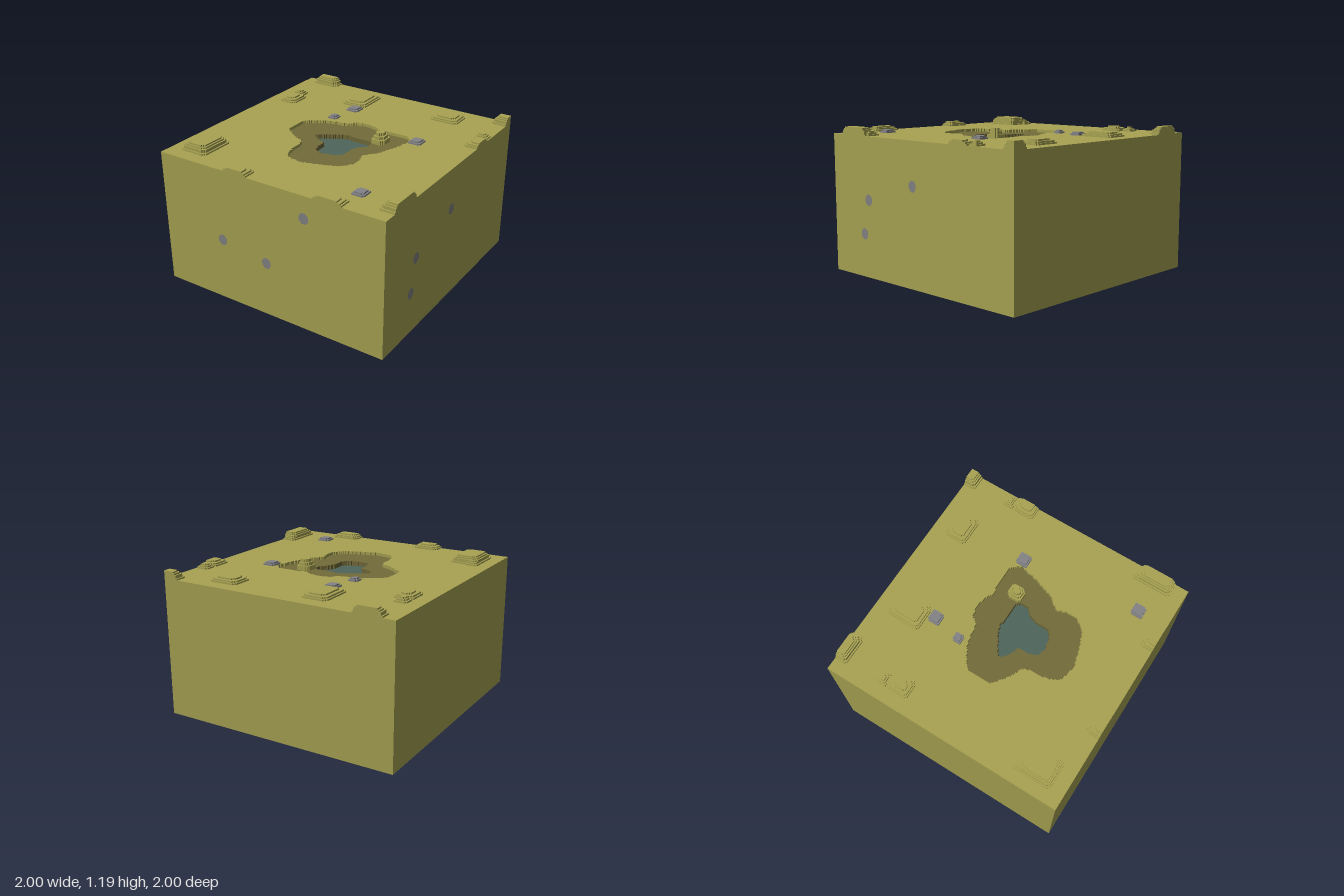
import * as THREE from 'three';

const V = 0.0125; // stepping grid size
const GROUND = 1.125, MUD = 1.1, WATER = 1.0625;

const mat = (name, color, double) => {
  const m = new THREE.MeshStandardMaterial({ color });
  m.name = name;
  if (double) m.side = THREE.DoubleSide;
  return m;
};

// Turns an outline of [x, z] points into axis-aligned stair steps on the grid
function stair(points) {
  const p = points.map(([x, z]) => [Math.round(x / V), Math.round(z / V)]);
  const out = [];
  const push = (x, z) => {
    const n = out.length;
    if (n > 1 && out[n - 2][0] === x && out[n - 2][1] === z) out.pop();
    else out.push([x, z]);
  };
  p.forEach(([x, z], i) => {
    const [tx, tz] = p[(i + 1) % p.length];
    const dx = Math.abs(tx - x), dz = Math.abs(tz - z);
    let a = 0, b = 0;
    while (a < dx || b < dz) {
      if (b >= dz || (a < dx && (a + 0.5) * dz <= (b + 0.5) * dx)) { x += Math.sign(tx - x); a++; }
      else { z += Math.sign(tz - z); b++; }
      push(x, z);
    }
  });
  // keep corners only
  return out.filter(([x, z], i) => {
    const q = out[(i + out.length - 1) % out.length], r = out[(i + 1) % out.length];
    return (x - q[0]) * (r[1] - z) !== (z - q[1]) * (r[0] - x);
  }).map(([x, z]) => [x * V, z * V]);
}

const toShape = (pts) => new THREE.Shape(pts.map(([x, z]) => new THREE.Vector2(x, -z)));

// Flat horizontal face, optionally with a hole
function cap(pts, y, hole) {
  const s = toShape(pts);
  if (hole) s.holes.push(toShape(hole));
  return new THREE.ShapeGeometry(s).rotateX(-Math.PI / 2).translate(0, y, 0);
}

// Vertical ribbon along an outline; clockwise outlines face inward
function wall(pts, y0, y1) {
  const pos = [];
  pts.forEach(([ax, az], i) => {
    const [bx, bz] = pts[(i + 1) % pts.length];
    pos.push(ax, y0, az, bx, y0, bz, bx, y1, bz, ax, y0, az, bx, y1, bz, ax, y1, az);
  });
  const g = new THREE.BufferGeometry();
  g.setAttribute('position', new THREE.Float32BufferAttribute(pos, 3));
  g.computeVertexNormals();
  return g;
}

// Chamfered rectangle, cut flush with the block's sides
function padOutline([x0, x1, z0, z1], inset, c) {
  x0 += inset; x1 -= inset; z0 += inset; z1 -= inset;
  const k = (v) => Math.max(-1, Math.min(1, v));
  return stair([
    [x0 + c, z0], [x1 - c, z0], [x1, z0 + c], [x1, z1 - c],
    [x1 - c, z1], [x0 + c, z1], [x0, z1 - c], [x0, z0 + c],
  ].map(([x, z]) => [k(x), k(z)]));
}

const POND = [
  [.03, -.33], [.11, -.31], [.18, -.27], [.26, -.285], [.42, -.285], [.47, -.25], [.5, -.2],
  [.48, -.13], [.46, -.05], [.42, .04], [.4, .125], [.35, .17], [.33, .215], [.35, .3],
  [.35, .38], [.315, .44], [.26, .48], [.17, .51], [.085, .54], [0, .56], [-.075, .55],
  [-.145, .52], [-.19, .445], [-.2, .36], [-.2, .3], [-.23, .24], [-.315, .2], [-.4, .14],
  [-.45, .1], [-.45, -.1], [-.385, -.15], [-.29, -.21], [-.19, -.235], [-.1, -.25], [-.06, -.31],
];
const POOL = [
  [0, -.1], [.04, -.085], [.2, -.09], [.235, -.05], [.235, 0], [.19, .065], [.165, .125],
  [.165, .235], [.13, .27], [.07, .285], [0, .3], [-.065, .275], [-.09, .215], [-.09, .125],
  [-.155, .1], [-.215, .06], [-.22, .02], [-.155, -.03], [-.065, -.07],
];

// Layer stacks as [inset, top height]
const TALL = [[0, 1.1375], [.0125, 1.1625], [.025, 1.175], [.0375, 1.1875]];
const LOW = [[0, 1.1375], [.0125, 1.15], [.0375, 1.1625]];
const SMALL = [[0, 1.1375], [.0125, 1.15], [.025, 1.1625]];
const STONE = [[0, 1.1375], [.0125, 1.15]];
const TUFT = [[0, 1.1375], [.0125, 1.1625], [.025, 1.1875]];

export function createModel() {
  const model = new THREE.Group();
  model.name = 'pondBlock';
  const grass = mat('grass', 0xa8a352);
  const mud = mat('mud', 0x736b3a);
  const water = mat('water', 0x4e665c);
  const stone = mat('stone', 0x838286);
  const stoneFace = mat('stoneSpot', 0x838283, true);

  const add = (name, geo, m, parent = model) => {
    const mesh = new THREE.Mesh(geo, m);
    mesh.name = name;
    parent.add(mesh);
    return mesh;
  };

  // Ground block with the pond cut out of its top
  const square = [[-1, -1], [-1, 1], [1, 1], [1, -1]];
  const pond = stair(POND), pool = stair(POOL);
  add('blockSides', wall(square, 0, GROUND), grass);
  add('blockTop', cap(square, GROUND, pond), grass);
  add('blockBottom', new THREE.PlaneGeometry(2, 2).rotateX(Math.PI / 2), grass);
  add('pondRim', wall(pond, MUD, GROUND), grass);
  add('mudBank', cap(pond, MUD, pool), mud);
  add('poolRim', wall(pool, WATER, MUD), mud);
  add('waterSurface', cap(pool, WATER), water);

  // Stepped pads: each layer is smaller than the one beneath
  const pad = (name, rect, layers, m, chamfer = .03, base = GROUND) => {
    const group = new THREE.Group();
    group.name = name;
    let y = base;
    for (const [inset, top] of layers) {
      const g = new THREE.ExtrudeGeometry(toShape(padOutline(rect, inset, chamfer)),
        { depth: top - y, bevelEnabled: false });
      add(name + 'Layer', g.rotateX(-Math.PI / 2).translate(0, y, 0), m, group);
      y = top;
    }
    model.add(group);
  };

  // Tall mounds
  [[-.9, -.6625, -1.2, -.9], [.875, 1.2, -1.2, -.9], [-.9, -.6625, .5875, .8875],
    [.875, 1.2, .5875, .8875]].forEach((r) => pad('tallMound', r, TALL, grass));

  // Low mounds
  [[-.3875, -.175, -.8875, -.6], [.4125, .65, -.8875, -.7], [-.3875, -.175, .8875, 1.2],
    [.4125, .65, .8875, 1.2], [-.8875, -.7375, -.55, -.3625], [.8875, 1.2, -.55, -.3625],
  ].forEach((r) => pad('lowMound', r, LOW, grass));

  // Small bumps beside the mounds
  [[-.8875, -.7875, -.6375, -.55], [.8875, .9875, -.6375, -.55],
    [-.9, -.8, .5625, .65], [.875, .9875, .5625, .65],
  ].forEach((r) => pad('smallBump', r, SMALL, grass, .0125));

  // Grass tuft standing on the mud bank
  pad('grassTuft', [.225, .3375, -.1875, -.0625], TUFT, grass, .025, MUD);

  // Loose stones
  [[-.22, -.535, .05], [-.28, -.295, .0375], [.55, -.22, .05], [.655, .755, .05]].forEach(
    ([x, z, r]) => pad('stone', [x - r, x + r, z - r, z + r], STONE, stone, .0125, MUD));

  // Stone spots in the front and side walls
  const spot = (name, u, y, turn) => {
    const g = new THREE.CircleGeometry(.043, 8, Math.PI / 8).scale(1, 1.1, 1).translate(u, y, 1.002);
    add(name, g.rotateY(turn), stoneFace);
  };
  [[-.43, .53], [-.015, .46], [.335, .945]].forEach(([x, y]) => spot('frontStoneSpot', x, y, 0));
  [[.03, .785], [.56, .625], [.62, .35]].forEach(([z, y]) => spot('sideStoneSpot', -z, y, Math.PI / 2));

  return model;
}
